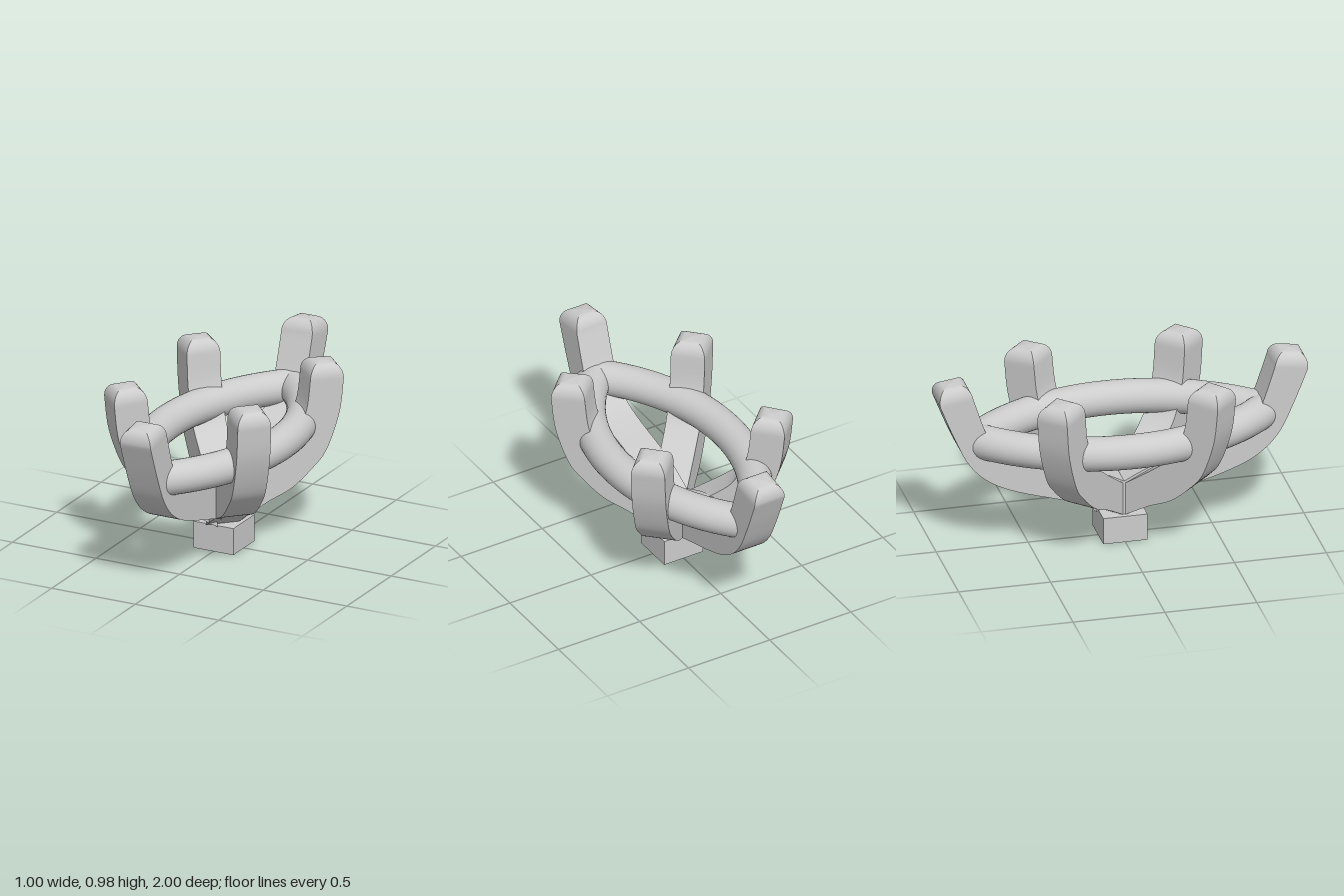
import * as THREE from 'three';

const HALF_WIDTH = 0.0925;
const TUBE_RADIUS = 0.0925;

// Side profiles as [distance outward, height]: lower/outer edge and upper/inner edge
const END_PROFILE = {
  outer: [[0, 0.15], [0.25, 0.245], [0.567, 0.342], [0.73, 0.42], [0.84, 0.53], [0.92, 0.69], [1, 0.89]],
  inner: [[0, 0.345], [0.19, 0.43], [0.5, 0.5], [0.64, 0.555], [0.71, 0.625], [0.755, 0.72], [0.82, 0.915]],
};
const SIDE_PROFILE = {
  outer: [[0.045, 0.15], [0.19, 0.235], [0.325, 0.3], [0.44, 0.4], [0.52, 0.5], [0.59, 0.7], [0.614, 0.89]],
  inner: [[0.045, 0.335], [0.13, 0.395], [0.22, 0.46], [0.315, 0.54], [0.365, 0.62], [0.41, 0.74], [0.43, 0.9]],
};

const spline = (pts) => new THREE.SplineCurve(pts.map(([r, y]) => new THREE.Vector2(r, y)));

// Square bar swept along a profile (outward = +z), closed by a rounded tip
function prongGeometry({ outer, inner }) {
  const outerCurve = spline(outer), innerCurve = spline(inner);
  const sections = [];
  const addSection = (o, n, w) => sections.push([[-w, o.y, o.x], [w, o.y, o.x], [w, n.y, n.x], [-w, n.y, n.x]]);

  const steps = 36;
  for (let i = 0; i <= steps; i++) {
    addSection(outerCurve.getPoint(i / steps), innerCurve.getPoint(i / steps), HALF_WIDTH);
  }

  // Tip: shrinking sections that round over to a near-flat top
  const o = outerCurve.getPoint(1), n = innerCurve.getPoint(1);
  const mid = o.clone().add(n).multiplyScalar(0.5);
  const half = o.clone().sub(n).multiplyScalar(0.5);
  const up = new THREE.Vector2(-half.y, half.x).normalize();
  const addTip = (scale, height) => {
    const c = mid.clone().addScaledVector(up, height);
    addSection(c.clone().addScaledVector(half, scale), c.clone().addScaledVector(half, -scale), HALF_WIDTH * scale);
  };
  for (let i = 1; i <= 10; i++) {
    const a = (i / 10) * Math.PI / 2;
    addTip(0.4 + 0.6 * Math.cos(a), 0.078 * Math.sin(a));
  }
  addTip(0, 0.082);

  // Each side has its own vertices, so the four long edges stay sharp
  const positions = [], index = [];
  for (let side = 0; side < 4; side++) {
    const base = positions.length / 3;
    sections.forEach((s) => positions.push(...s[side], ...s[(side + 1) % 4]));
    for (let i = 0; i < sections.length - 1; i++) {
      const a = base + i * 2;
      index.push(a, a + 1, a + 3, a, a + 3, a + 2);
    }
  }
  // Flat starting face
  const cap = positions.length / 3;
  sections[0].forEach((p) => positions.push(...p));
  index.push(cap, cap + 2, cap + 1, cap, cap + 3, cap + 2);

  const geometry = new THREE.BufferGeometry();
  geometry.setAttribute('position', new THREE.Float32BufferAttribute(positions, 3));
  geometry.setIndex(index);
  geometry.computeVertexNormals();
  return geometry;
}

// One bowed side of the pointed-oval girdle
class GirdleArc extends THREE.Curve {
  constructor(side) {
    super();
    this.side = side;
  }
  getPoint(t, target = new THREE.Vector3()) {
    const bulge = 0.335, length = 0.785;
    const radius = (length * length + bulge * bulge) / (2 * bulge);
    const a = (t * 2 - 1) * Math.asin(length / radius);
    return target.set(this.side * (radius * Math.cos(a) - radius + bulge), 0.632, radius * Math.sin(a));
  }
}

export function createModel() {
  const model = new THREE.Group();
  model.name = 'prongSetting';
  const material = new THREE.MeshStandardMaterial({ color: 0xcccccc });
  const add = (name, geometry) => {
    const mesh = new THREE.Mesh(geometry, material);
    mesh.name = name;
    model.add(mesh);
    return mesh;
  };

  // Square foot
  add('base', new THREE.BoxGeometry(0.24, 0.15, 0.24)).position.y = 0.075;

  // Prongs at the two pointed ends
  const endGeometry = prongGeometry(END_PROFILE);
  add('frontProng', endGeometry);
  add('backProng', endGeometry).rotation.y = Math.PI;

  // Four diagonal prongs
  const sideGeometry = prongGeometry(SIDE_PROFILE);
  for (const x of [1, -1]) {
    for (const z of [1, -1]) {
      const prong = add(`${z > 0 ? 'front' : 'back'}${x > 0 ? 'Left' : 'Right'}Prong`, sideGeometry);
      prong.rotation.y = Math.atan2(x, z);
      prong.position.z = 0.04 * z;
    }
  }

  // Girdle ring of two crossing arcs, ends buried in the end prongs
  for (const side of [1, -1]) {
    add(side > 0 ? 'leftGirdle' : 'rightGirdle',
      new THREE.TubeGeometry(new GirdleArc(side), 64, TUBE_RADIUS, 32, false));
  }
  return model;
}
